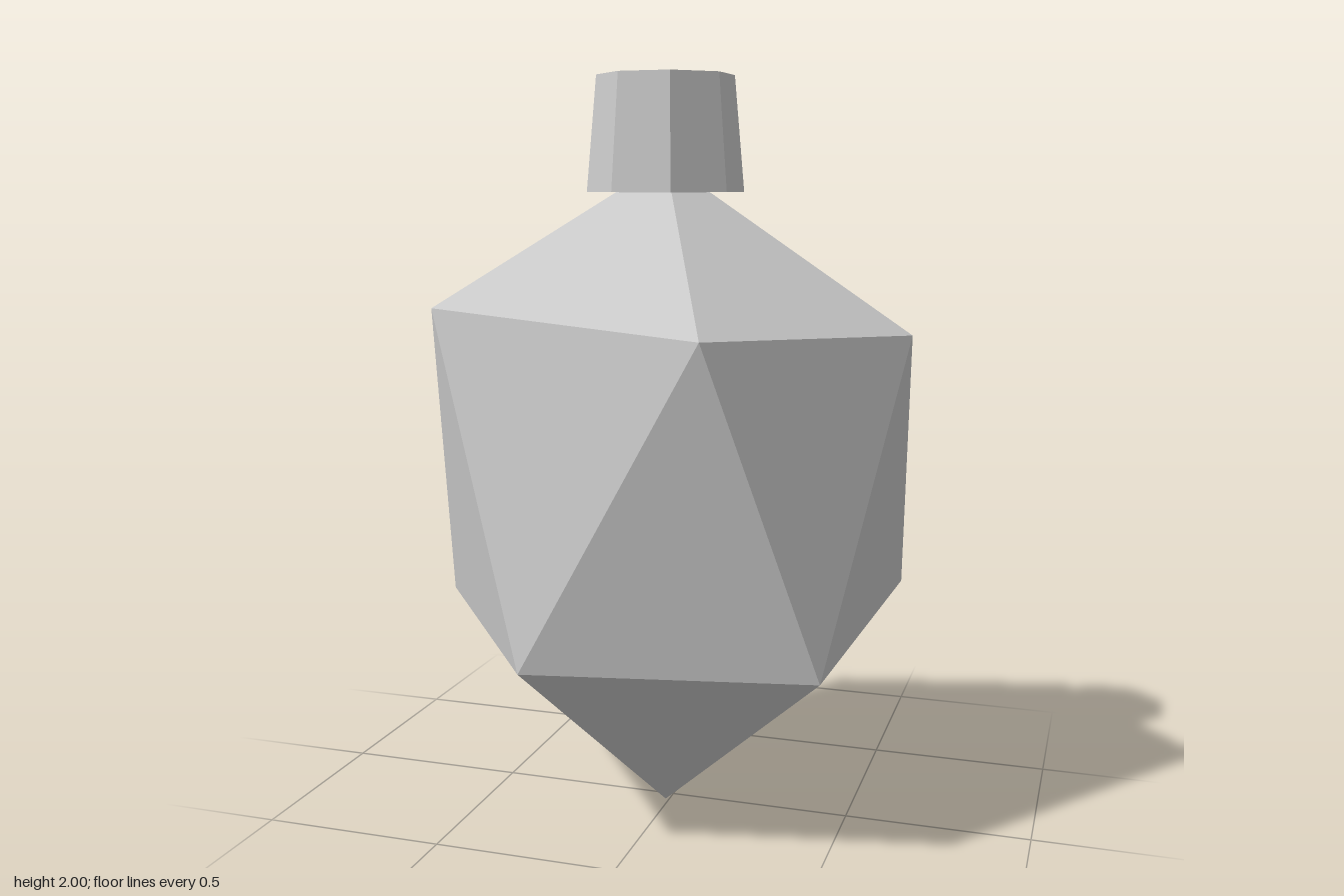
import * as THREE from 'three';

export function createModel() {
  const group = new THREE.Group();
  const grey = new THREE.MeshStandardMaterial({ color: 0xcccccc, flatShading: true });
  grey.name = 'light grey';

  // Faceted body: two staggered five-point rings between a top and a bottom point
  const top = [-0.01, 1.78, 0.035];
  const tip = [-0.01, 0, 0.04];
  const upper = [
    [0.65, 1.34, 0.03], [0.23, 1.36, 0.535], [-0.545, 1.405, 0.35],
    [-0.55, 1.385, -0.3], [0.23, 1.345, -0.5],
  ];
  const lower = [
    [0.5, 0.51, 0.39], [-0.24, 0.51, 0.54], [-0.655, 0.565, 0.03],
    [-0.225, 0.585, -0.54], [0.59, 0.6, -0.305],
  ];
  const corners = [];
  for (let i = 0; i < 5; i++) {
    const j = (i + 1) % 5;
    corners.push(
      top, upper[j], upper[i],
      upper[i], upper[j], lower[i],
      lower[i], upper[j], lower[j],
      lower[i], lower[j], tip,
    );
  }
  const bodyGeometry = new THREE.BufferGeometry();
  bodyGeometry.setAttribute('position', new THREE.Float32BufferAttribute(corners.flat(), 3));
  bodyGeometry.computeVertexNormals();
  const body = new THREE.Mesh(bodyGeometry, grey);
  body.name = 'facetedBody';

  // Tapered eight-sided cap
  const cap = new THREE.Mesh(
    new THREE.CylinderGeometry(0.181, 0.208, 0.3, 8, 1, false, Math.PI / 8), grey);
  cap.name = 'cap';
  cap.position.set(-0.01, 1.85, 0.035);
  cap.rotation.y = -0.025;

  group.add(body, cap);
  return group;
}
